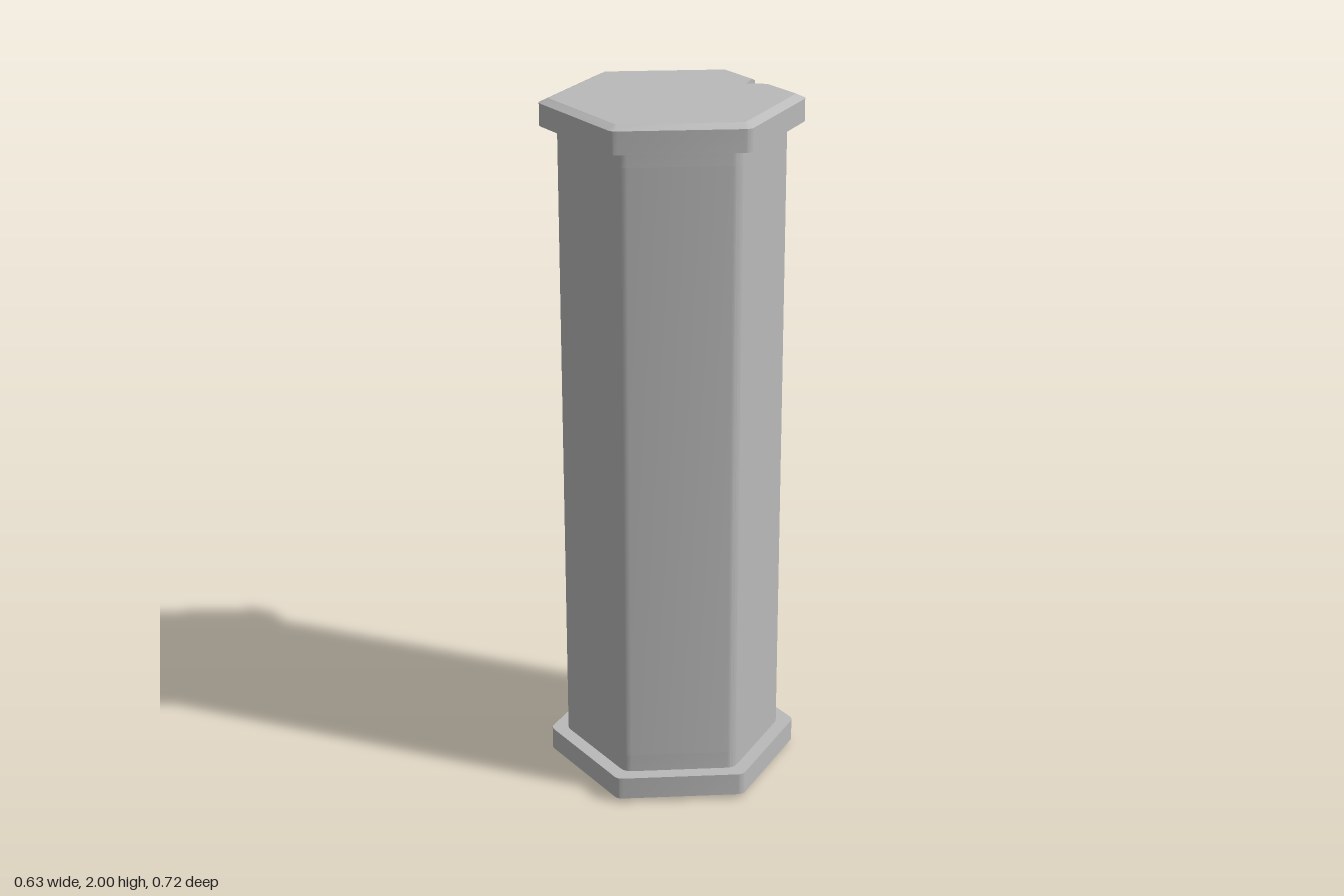
import * as THREE from 'three';
import { toCreasedNormals } from 'three/addons/utils/BufferGeometryUtils.js';

// Hexagon outline in x/z with rounded corners; notch points are inserted in the +x face
function hexOutline(apothem, radius, notch = []) {
  const points = [];
  const reach = (apothem - radius) / Math.cos(Math.PI / 6);
  for (let k = 0; k < 6; k++) {
    const a = Math.PI / 6 + (k * Math.PI) / 3;
    for (let s = 0; s <= 4; s++) {
      const b = a + (s / 4 - 0.5) * (Math.PI / 3);
      points.push(new THREE.Vector2(
        reach * Math.cos(a) + radius * Math.cos(b),
        reach * Math.sin(a) + radius * Math.sin(b)));
    }
  }
  notch.forEach(([x, z]) => points.push(new THREE.Vector2(x, z)));
  return points;
}

// Closed solid through stacked outlines, listed from bottom to top
function loft(rings) {
  const pos = [];
  const tri = (a, b, c) => {
    const area = b.clone().sub(a).cross(c.clone().sub(a)).length();
    if (area > 1e-9) [a, b, c].forEach((p) => pos.push(p.x, p.y, p.z));
  };
  const loops = rings.map(({ y, outline }) => outline.map((p) => new THREE.Vector3(p.x, y, p.y)));
  for (let r = 0; r < loops.length - 1; r++) {
    const low = loops[r], high = loops[r + 1], n = low.length;
    for (let i = 0; i < n; i++) {
      const j = (i + 1) % n;
      tri(low[i], high[i], low[j]);
      tri(low[j], high[i], high[j]);
    }
  }
  const end = (ring, loop, up) => {
    for (const [a, b, c] of THREE.ShapeUtils.triangulateShape(ring.outline.slice(), [])) {
      if (up) tri(loop[c], loop[b], loop[a]);
      else tri(loop[a], loop[b], loop[c]);
    }
  };
  end(rings[0], loops[0], false);
  end(rings[rings.length - 1], loops[loops.length - 1], true);
  const geometry = new THREE.BufferGeometry();
  geometry.setAttribute('position', new THREE.Float32BufferAttribute(pos, 3));
  return toCreasedNormals(geometry, 0.35);
}

export function createModel() {
  const model = new THREE.Group();
  model.name = 'hexagonalCanister';
  const grey = new THREE.MeshStandardMaterial({ color: 0xbababa });
  grey.name = 'grey';
  const add = (name, rings) => {
    const mesh = new THREE.Mesh(loft(rings), grey);
    mesh.name = name;
    model.add(mesh);
  };

  // Body, with a long narrow slot in its +x face
  const plain = hexOutline(0.275, 0.035);
  const slotted = hexOutline(0.275, 0.035,
    [[0.275, -0.018], [0.245, -0.018], [0.245, 0.018], [0.275, 0.018]]);
  const section = (name, y0, y1, outline) => add(name, [{ y: y0, outline }, { y: y1, outline }]);
  section('bodyBottom', 0.075, 0.13, plain);
  section('bodySlotted', 0.13, 1.88, slotted);
  section('bodyTop', 1.88, 1.925, plain);

  // End caps: bevelled outside edge and a V notch above and below the slot
  const notch = (x) => {
    const w = ((x - 0.245) / 0.07) * 0.055;
    return [[x, -w], [0.245, 0], [x, w]];
  };
  const outer = hexOutline(0.315, 0.025, notch(0.315));
  const inner = hexOutline(0.29, 0, notch(0.29));
  add('bottomCap', [
    { y: 0, outline: inner }, { y: 0.012, outline: outer }, { y: 0.078, outline: outer }]);
  add('topCap', [
    { y: 1.925, outline: outer }, { y: 1.988, outline: outer }, { y: 2, outline: inner }]);
  return model;
}
